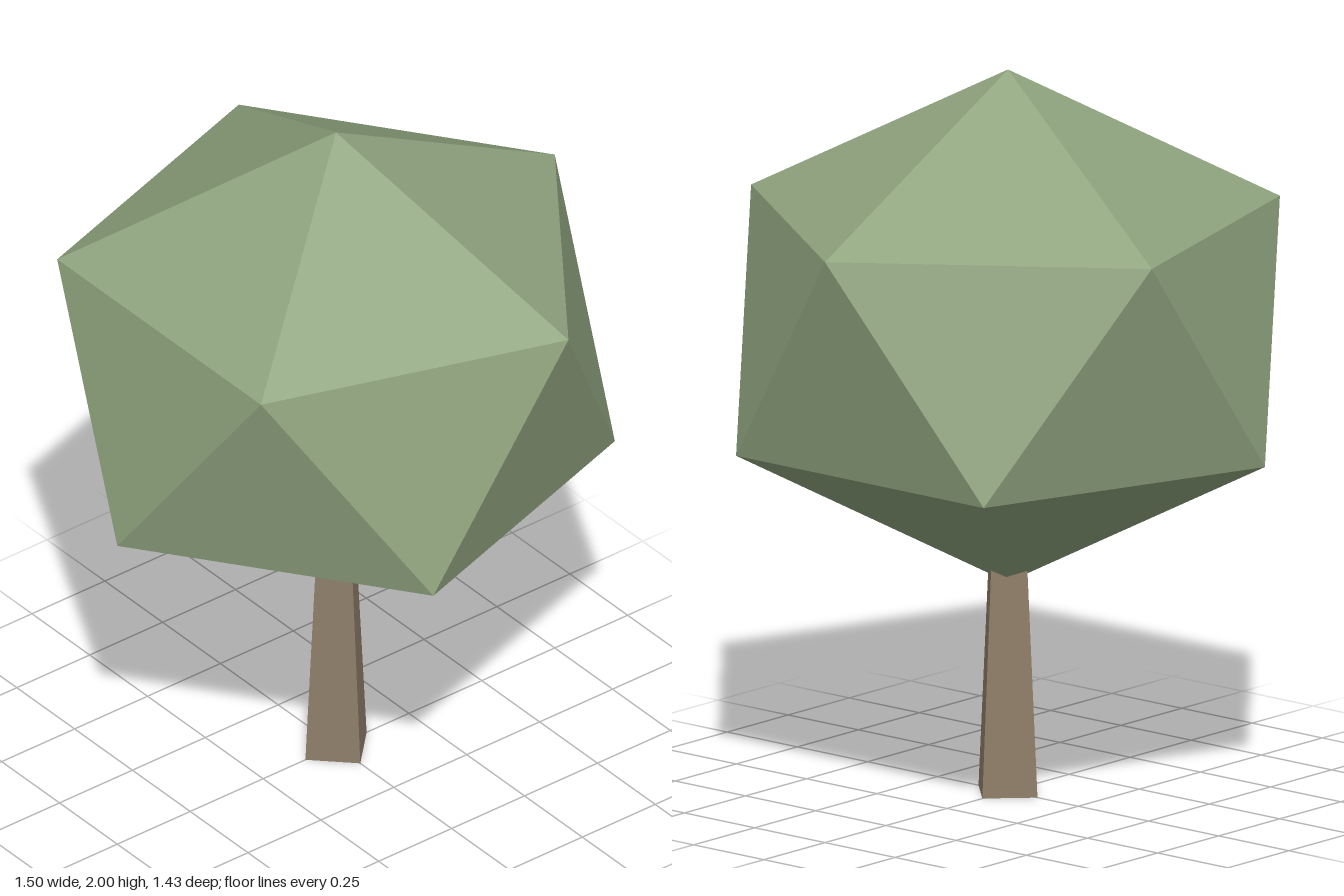
import * as THREE from 'three';
import { ConvexGeometry } from 'three/addons/geometries/ConvexGeometry.js';

export function createModel() {
  const group = new THREE.Group();
  group.name = 'lowPolyTree';

  const leafGreen = new THREE.MeshStandardMaterial({ color: 0x8fa37e, flatShading: true });
  leafGreen.name = 'leafGreen';
  const barkBrown = new THREE.MeshStandardMaterial({ color: 0x8e7d68, flatShading: true });
  barkBrown.name = 'barkBrown';

  // Trunk: tapered four-sided post, corners on the axes, top buried in the crown
  const bottomRadius = 0.105, topRadius = 0.066, trunkHeight = 0.68;
  const trunk = new THREE.Mesh(
    new THREE.CylinderGeometry(topRadius, bottomRadius, trunkHeight, 4), barkBrown);
  trunk.name = 'trunk';
  trunk.position.y = trunkHeight / 2;
  group.add(trunk);

  // Crown: widened icosahedron made of two poles and two staggered five-point rings
  const centerY = 1.29, halfHeight = 0.71, ringRadius = 0.75, ringOffset = 0.318;
  const points = [
    new THREE.Vector3(0, halfHeight, 0),
    new THREE.Vector3(0, -halfHeight, 0),
  ];
  for (let i = 0; i < 5; i++) {
    const a = (i * Math.PI * 2) / 5;
    const x = Math.cos(a) * ringRadius, z = Math.sin(a) * ringRadius;
    points.push(new THREE.Vector3(x, ringOffset, z), new THREE.Vector3(-x, -ringOffset, -z));
  }
  const crown = new THREE.Mesh(new ConvexGeometry(points), leafGreen);
  crown.name = 'crown';
  crown.position.y = centerY;
  group.add(crown);

  return group;
}
